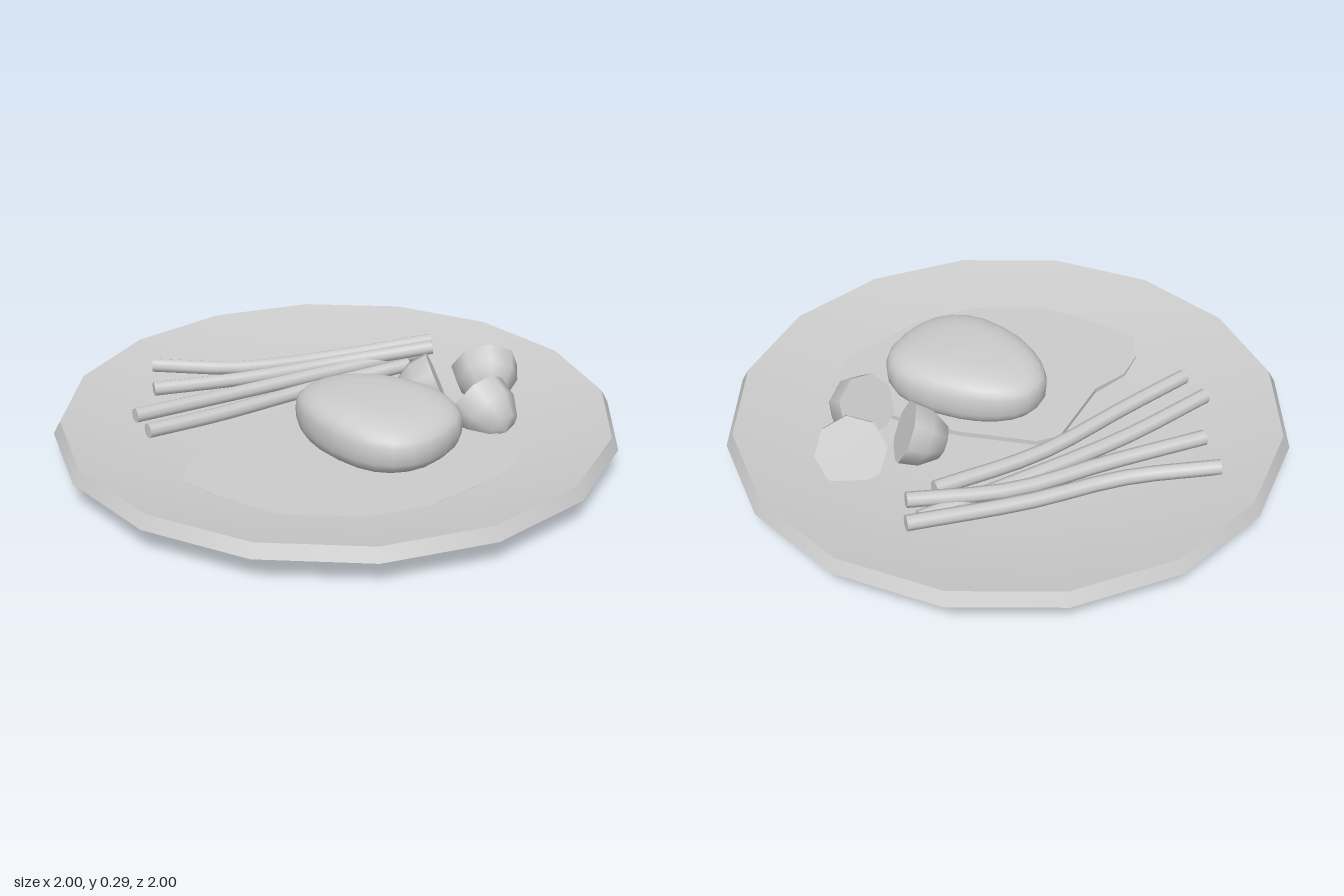
import * as THREE from 'three';

const V2 = (p) => new THREE.Vector2(...p);
const V3 = (p) => new THREE.Vector3(...p);

export function createModel() {
  const model = new THREE.Group();
  const grey = new THREE.MeshStandardMaterial({ color: 0xcccccc });
  grey.name = 'light grey';

  const add = (parent, name, geometry) => {
    const mesh = new THREE.Mesh(geometry, grey);
    mesh.name = name;
    parent.add(mesh);
    return mesh;
  };
  const group = (name) => {
    const g = new THREE.Group();
    g.name = name;
    model.add(g);
    return g;
  };

  // Sixteen-sided plate, in three lathes so the rim edges stay sharp
  const plate = group('plate');
  const lathe = (name, pts) => add(plate, name, new THREE.LatheGeometry(pts.map(V2), 16));
  lathe('plateUnderside', [[0, 0], [0.79, 0], [1, 0.1]]);
  lathe('plateRim', [[1, 0.1], [0.975, 0.145]]);
  lathe('plateInside', [[0.975, 0.145], [0.7, 0.09], [0.4, 0.072], [0, 0.07]]);

  // Thin pool of sauce lying in the bowl of the plate
  const outline = [
    [-0.68, 0.02], [-0.67, -0.13], [-0.57, -0.2], [-0.45, -0.22], [-0.31, -0.18], [0, -0.22],
    [0.07, -0.17], [0.18, 0.09], [0.23, 0.3], [0.26, 0.54], [0.21, 0.64], [0.13, 0.68],
    [0, 0.69], [-0.35, 0.61], [-0.53, 0.47], [-0.65, 0.28],
  ].map(([x, z]) => new THREE.Vector2(x, -z));
  const sauce = new THREE.ExtrudeGeometry(new THREE.Shape(outline), { depth: 0.018, bevelEnabled: false });
  sauce.rotateX(-Math.PI / 2).translate(0, 0.072, 0);
  add(model, 'sauce', sauce);

  // Meat: a squared-off sphere, narrower towards the back
  const meat = new THREE.SphereGeometry(1, 24, 16);
  const pos = meat.attributes.position;
  const swell = (v, e) => Math.sign(v) * Math.abs(v) ** e;
  for (let i = 0; i < pos.count; i++) {
    const x = pos.getX(i), y = pos.getY(i), z = pos.getZ(i);
    const ring = Math.hypot(x, z);
    const full = ring > 1e-6 ? ring ** 0.65 / ring : 0;
    const sx = swell(x * full, 0.85), sz = swell(z * full, 0.85);
    const width = 0.232 * (1 + 0.22 * sz - 0.06 * sz * sz);
    const drop = 0.02 * Math.max(0, y) * sz * sz;
    pos.setXYZ(i, -0.055 + sx * width, 0.175 + 0.107 * swell(y, 0.75) - drop, 0.205 + sz * 0.305);
  }
  meat.computeVertexNormals();
  add(model, 'meat', meat);

  // Bean stalks with capped ends, fanned out at the back
  const stalks = group('beanStalks');
  [
    [[-0.12, 0.13, -0.79], [0.09, 0.112, -0.54], [0.38, 0.11, -0.33], [0.71, 0.135, -0.08]],
    [[-0.25, 0.115, -0.66], [0.05, 0.11, -0.45], [0.36, 0.115, -0.26], [0.63, 0.148, -0.02]],
    [[-0.46, 0.12, -0.55], [-0.1, 0.105, -0.42], [0.33, 0.105, -0.23], [0.64, 0.105, -0.08]],
    [[-0.52, 0.12, -0.43], [-0.26, 0.108, -0.34], [0.13, 0.1, -0.22], [0.5, 0.115, -0.04]],
  ].forEach((pts) => {
    const path = new THREE.CatmullRomCurve3(pts.map(V3));
    add(stalks, 'stalk', new THREE.TubeGeometry(path, 10, 0.027, 8));
    for (const t of [0, 1]) {
      const cap = add(stalks, 'stalkEnd', new THREE.CircleGeometry(0.027, 8));
      const out = path.getTangent(t).multiplyScalar(t ? 1 : -1);
      cap.position.copy(path.getPoint(t));
      cap.quaternion.setFromUnitVectors(new THREE.Vector3(0, 0, 1), out);
    }
  });

  // Potato halves: a rounded dome behind a flat cut face
  const potatoes = group('potatoes');
  [
    { at: [0.36, 0.165, 0.19], facing: [0.6, 0.4, 0.7], radius: 0.115, depth: 0.16 },
    { at: [0.56, 0.175, 0.265], facing: [0.7, 0.5, -0.65], radius: 0.125, depth: 0.155 },
    { at: [0.32, 0.165, 0.385], facing: [0.18, 0.45, -0.9], radius: 0.118, depth: 0.17 },
  ].forEach(({ at, facing, radius, depth }) => {
    const half = new THREE.Group();
    half.name = 'potatoHalf';
    half.position.set(...at);
    half.quaternion.setFromUnitVectors(new THREE.Vector3(0, 1, 0), V3(facing).normalize());
    potatoes.add(half);
    const profile = [[0, -1], [0.55, -0.88], [0.92, -0.45], [1, 0]];
    const dome = profile.map(([r, y]) => new THREE.Vector2(r * radius, y * depth));
    add(half, 'potatoSkin', new THREE.LatheGeometry(dome, 8));
    const face = new THREE.CircleGeometry(radius, 8).rotateX(-Math.PI / 2);
    add(half, 'potatoCut', face);
  });

  return model;
}
